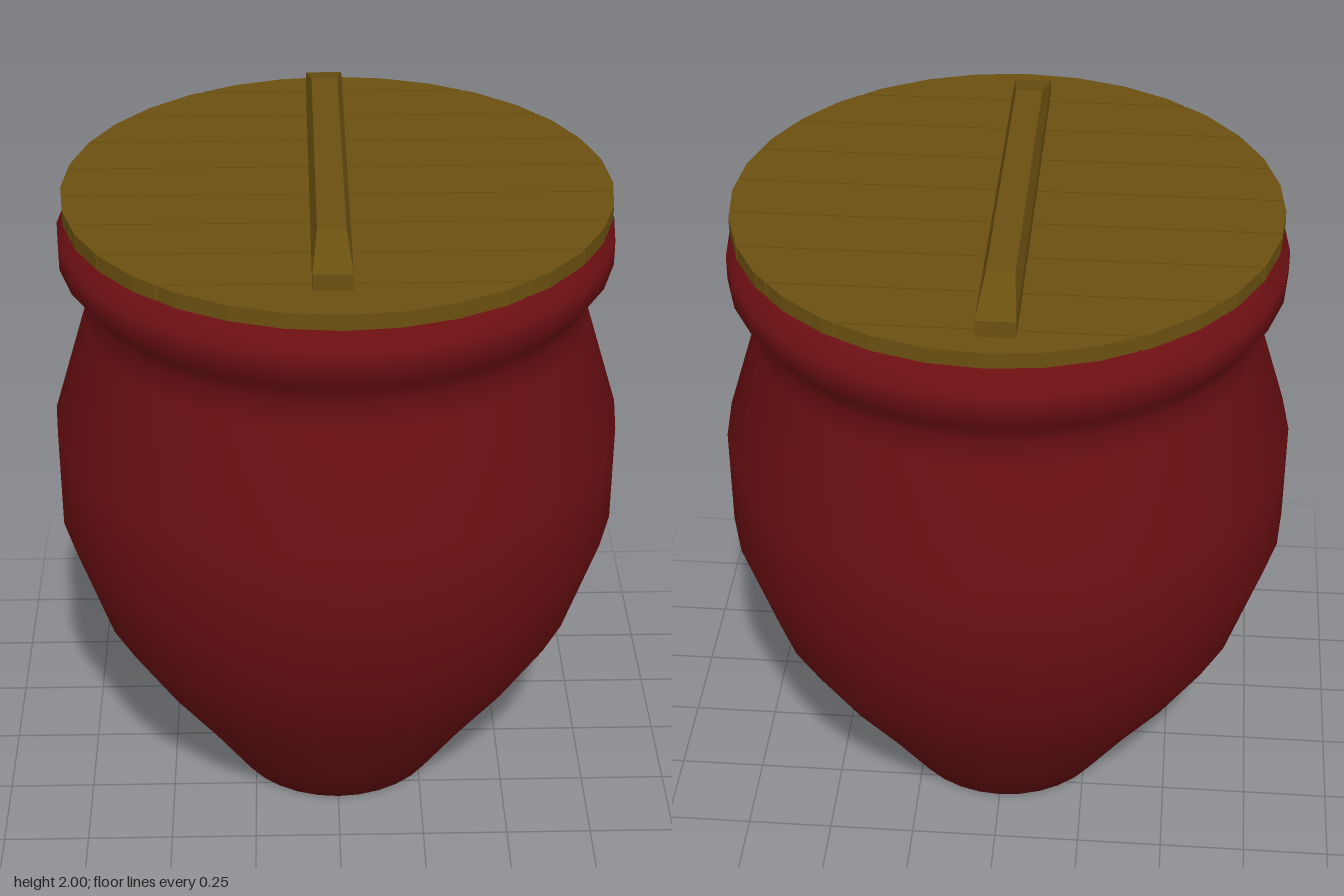
import * as THREE from 'three';

const SIDES = 32;

// Half-width of the many-sided lid outline at depth z
function halfWidth(z, r) {
  const a = Math.asin(Math.max(-1, Math.min(1, z / r)));
  const step = (2 * Math.PI) / SIDES;
  const a0 = Math.floor(a / step + 1e-6) * step, a1 = a0 + step;
  const t = (z / r - Math.sin(a0)) / (Math.sin(a1) - Math.sin(a0));
  return r * (Math.cos(a0) + t * (Math.cos(a1) - Math.cos(a0)));
}

// One lid plank: the slice of the outline between two depths
function plankGeometry(z0, z1, r, thickness) {
  const levels = [z0];
  for (let i = -SIDES / 4 + 1; i < SIDES / 4; i++) {
    const z = r * Math.sin((i * 2 * Math.PI) / SIDES);
    if (z > z0 + 0.002 && z < z1 - 0.002) levels.push(z);
  }
  levels.push(z1);
  const right = levels.map(z => new THREE.Vector2(Math.max(halfWidth(z, r), 0.001), z));
  const left = right.map(p => new THREE.Vector2(-p.x, p.y)).reverse();
  const geo = new THREE.ExtrudeGeometry(new THREE.Shape([...right, ...left]),
    { depth: thickness, bevelEnabled: false });
  return geo.rotateX(Math.PI / 2);
}

export function createModel() {
  const model = new THREE.Group();
  const clay = new THREE.MeshStandardMaterial({ color: 0x6b0f12, side: THREE.DoubleSide });
  const wood = new THREE.MeshStandardMaterial({ color: 0x6b5010, flatShading: true });

  // Pot: outer wall, rolled rim and hollow inside in one profile
  const profile = [
    [0, 0], [0.32, 0], [0.44, 0.18], [0.575, 0.37], [0.71, 0.59], [0.81, 0.9], [0.81, 1.2],
    [0.71, 1.53], [0.71, 1.61], [0.73, 1.665], [0.775, 1.72], [0.775, 1.79], [0.71, 1.84],
    [0.66, 1.84], [0.63, 1.79], [0.63, 1.53], [0.74, 1.2], [0.74, 0.9], [0.64, 0.62],
    [0.28, 0.07], [0, 0.07],
  ].map(([x, y]) => new THREE.Vector2(x, y));
  const pot = new THREE.Mesh(new THREE.LatheGeometry(profile, SIDES), clay);
  pot.name = 'pot';
  model.add(pot);

  // Lid: nine planks with narrow gaps
  const lid = new THREE.Group();
  lid.name = 'lid';
  lid.position.set(0.003, 1.905, 0.015);
  const radius = 0.76, gap = 0.006;
  const seams = [-0.65, -0.472, -0.295, -0.117, 0.06, 0.237, 0.413, 0.59];
  const edges = [-radius, ...seams, radius];
  for (let i = 0; i < edges.length - 1; i++) {
    const z0 = i === 0 ? -radius : edges[i] + gap / 2;
    const z1 = i === edges.length - 2 ? radius : edges[i + 1] - gap / 2;
    const plank = new THREE.Mesh(plankGeometry(z0, z1, radius, 0.045), wood);
    plank.name = 'lidPlank' + (i + 1);
    lid.add(plank);
  }
  model.add(lid);

  // Handle bar: upper half tapers in at the sides and slopes at the ends
  const bar = new THREE.BoxGeometry(0.105, 0.097, 1.315, 1, 2, 1);
  const pos = bar.attributes.position;
  for (let i = 0; i < pos.count; i++) {
    if (pos.getY(i) > 0.01) {
      pos.setX(i, pos.getX(i) * 0.72);
      pos.setZ(i, pos.getZ(i) * 0.757);
    }
  }
  bar.computeVertexNormals();
  const handle = new THREE.Mesh(bar, wood);
  handle.name = 'lidHandle';
  handle.position.set(-0.022, 1.9515, -0.012);
  model.add(handle);

  return model;
}
